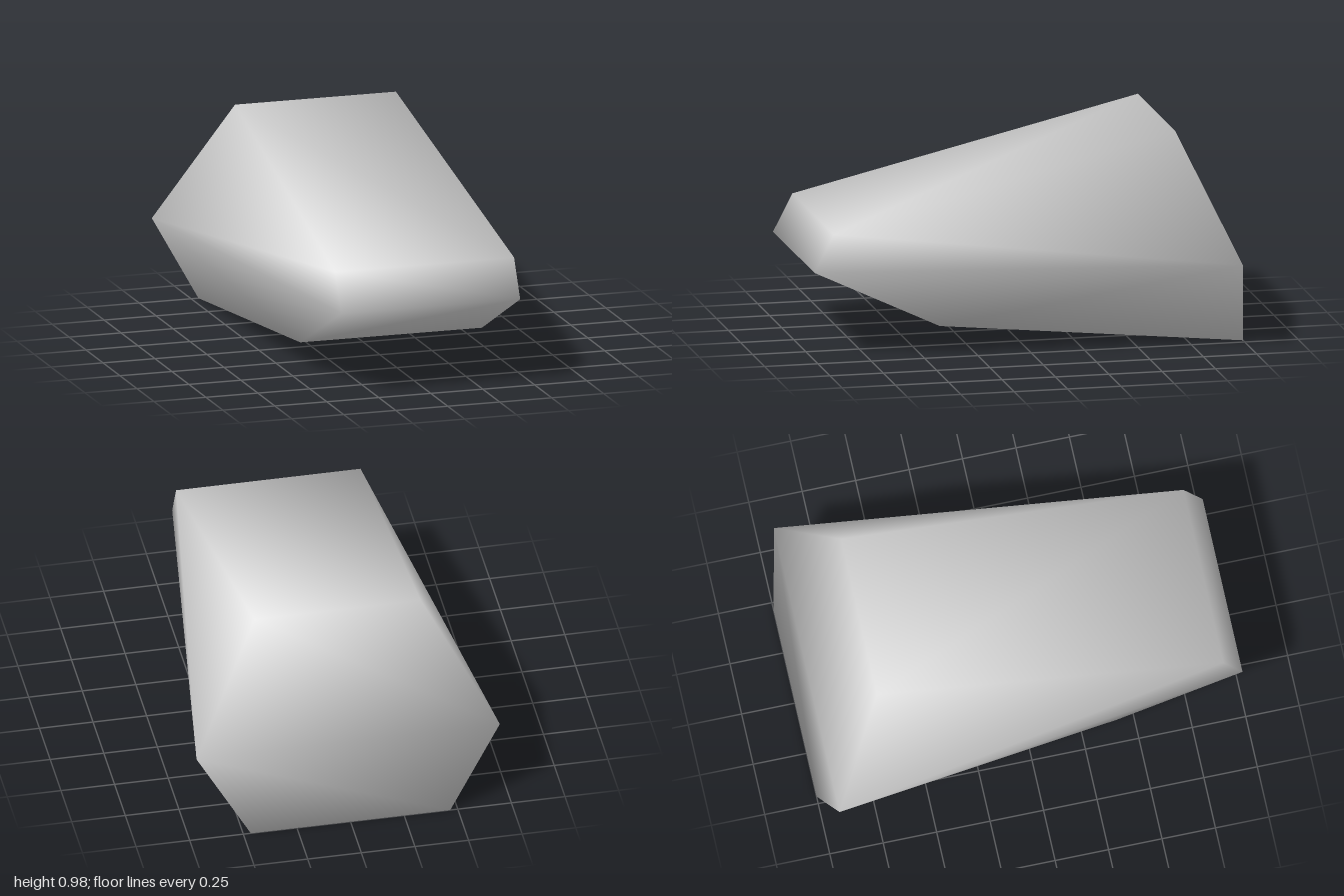
import * as THREE from 'three';

// Outline of one flank as [half width, y, z], running over the top, down the front and back underneath
const OUTLINE = [
  [0.387, 0.985, -0.7],   // rear top
  [0.43, 0.59, 0.91],     // front top
  [0.43, 0.415, 1.0],     // front tip
  [0.437, 0.138, 0.415],  // front bottom
  [0.465, 0.005, -1.0],   // rear bottom
  [0.707, 0.415, -0.945], // rear waist
];

// Smooth normals in which every facet counts equally
function smoothNormals(geometry) {
  const flat = geometry.toNonIndexed();
  flat.computeVertexNormals();
  const index = geometry.index;
  const count = geometry.attributes.position.count;
  const sums = Array.from({ length: count }, () => new THREE.Vector3());
  const n = new THREE.Vector3();
  for (let i = 0; i < index.count; i++) {
    sums[index.getX(i)].add(n.fromBufferAttribute(flat.attributes.normal, i));
  }
  const normals = sums.flatMap((v) => v.normalize().toArray());
  geometry.setAttribute('normal', new THREE.Float32BufferAttribute(normals, 3));
}

function bodyGeometry() {
  const n = OUTLINE.length;
  const positions = [-1, 1].flatMap((side) => OUTLINE.flatMap(([x, y, z]) => [side * x, y, z]));
  const faces = [];

  // Band of panels joining the two flanks
  for (let i = 0; i < n; i++) {
    const j = (i + 1) % n;
    if (i === 2 || i === 3) faces.push(i, j, i + n, j, j + n, i + n); // underside panels
    else faces.push(i, j, j + n, i, j + n, i + n);
  }

  // Flanks fan out from the rear waist
  for (let a = 0; a < n - 2; a++) {
    faces.push(n - 1, a + 1, a);
    faces.push(2 * n - 1, a + n, a + n + 1);
  }

  const geometry = new THREE.BufferGeometry();
  geometry.setAttribute('position', new THREE.Float32BufferAttribute(positions, 3));
  geometry.setIndex(faces);
  smoothNormals(geometry);
  return geometry;
}

export function createModel() {
  const group = new THREE.Group();
  group.name = 'taperedBlock';
  const grey = new THREE.MeshStandardMaterial({ color: 0xcccccc });
  grey.name = 'light grey';

  const body = new THREE.Mesh(bodyGeometry(), grey);
  body.name = 'body';
  group.add(body);
  return group;
}
